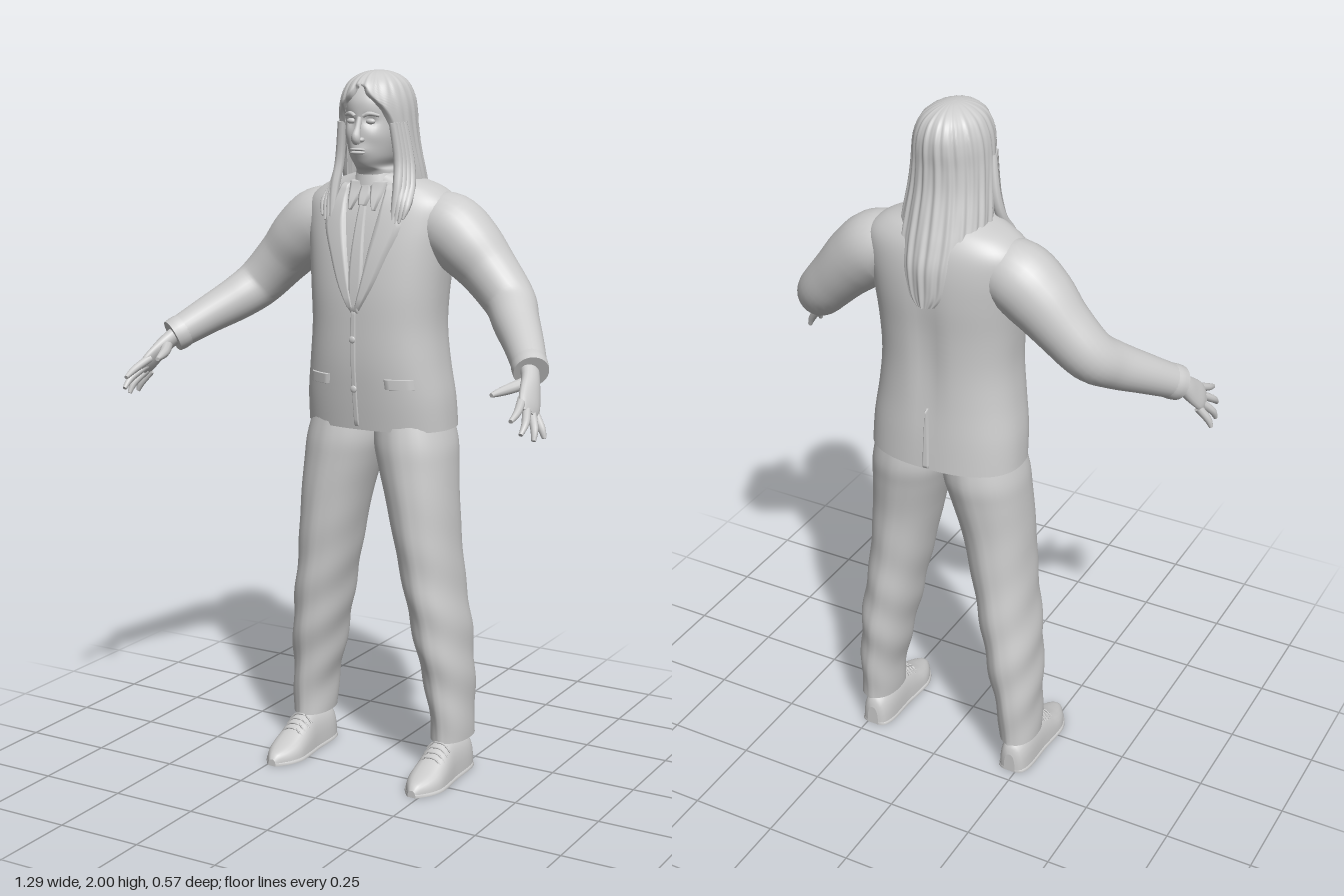
import * as THREE from 'three';

const grey = new THREE.MeshStandardMaterial({ color: 0xcccccc, side: THREE.DoubleSide });
grey.name = 'plain grey';

// smooth interpolation through rows of numbers, t runs 0..1
function sample(rows, t) {
  const s = THREE.MathUtils.clamp(t, 0, 1) * (rows.length - 1);
  const i = Math.min(Math.floor(s), rows.length - 2), f = s - i;
  const at = k => rows[THREE.MathUtils.clamp(k, 0, rows.length - 1)];
  return rows[0].map((_, c) => {
    const [a, b, d, e] = [at(i - 1)[c], at(i)[c], at(i + 1)[c], at(i + 2)[c]];
    return b + 0.5 * f * (d - a + f * (2 * a - 5 * b + 4 * d - e + f * (3 * (b - d) + e - a)));
  });
}

// surface from fn(u, v) -> [x, y, z]; closed ones wrap in u and get end caps
function surface(name, fn, nu, nv, closed = true) {
  const pos = [], idx = [], cols = closed ? nu : nu + 1;
  for (let j = 0; j <= nv; j++)
    for (let i = 0; i < cols; i++) pos.push(...fn(i / nu, j / nv));
  for (let j = 0; j < nv; j++)
    for (let i = 0; i < nu; i++) {
      const k = (i + 1) % cols, a = j * cols + i, b = j * cols + k;
      idx.push(a, b, a + cols, b, b + cols, a + cols);
    }
  if (closed) for (const j of [0, nv]) {
    const start = pos.length / 3, c = [0, 0, 0];
    for (let i = 0; i < nu; i++) {
      const p = fn(i / nu, j / nv);
      pos.push(...p);
      p.forEach((q, n) => { c[n] += q / nu; });
    }
    pos.push(...c);
    for (let i = 0; i < nu; i++) {
      const a = start + i, b = start + (i + 1) % nu;
      idx.push(start + nu, ...(j ? [a, b] : [b, a]));
    }
  }
  const g = new THREE.BufferGeometry();
  g.setAttribute('position', new THREE.Float32BufferAttribute(pos, 3));
  g.setIndex(idx);
  g.computeVertexNormals();
  const m = new THREE.Mesh(g, grey);
  m.name = name;
  return m;
}

const spow = (v, p) => Math.sign(v) * Math.pow(Math.abs(v), p);
const bump = (d, w) => Math.exp(-(d * d) / (w * w));

// upright body from rows [y, cx, front z, back z, half width], squared by power n
function loft(name, rows, n, nu, nv, warp = p => p) {
  return surface(name, (u, v) => {
    const [y, cx, zf, zb, rx] = sample(rows, v), a = u * Math.PI * 2;
    return warp([cx + rx * spow(Math.sin(a), 2 / n), y,
      (zf + zb) / 2 + (zf - zb) / 2 * spow(Math.cos(a), 2 / n)], a);
  }, nu, nv);
}

// depth of a loft's front (side 1) or back (side -1) at x, y
function depth(rows, n, x, y, side = 1) {
  let lo = 0, hi = 1;
  for (let k = 0; k < 24; k++) {
    const mid = (lo + hi) / 2;
    if (sample(rows, mid)[0] < y) lo = mid; else hi = mid;
  }
  const [, cx, zf, zb, rx] = sample(rows, lo);
  const k = Math.min(1, Math.abs((x - cx) / rx));
  return (zf + zb) / 2 + side * (zf - zb) / 2 * Math.pow(1 - Math.pow(k, n), 1 / n);
}

// limb from rows [x, y, z, radius, flatness]
const REF = new THREE.Vector3(0.9, 0.45, 0).normalize();
function limb(name, rows, nu = 12, nv = 16) {
  return surface(name, (u, v) => {
    const p = sample(rows, v), a = u * Math.PI * 2;
    const q = sample(rows, v + 0.01), o = sample(rows, v - 0.01);
    const T = new THREE.Vector3(q[0] - o[0], q[1] - o[1], q[2] - o[2]).normalize();
    const B = T.clone().cross(REF).normalize(), N = B.clone().cross(T);
    N.multiplyScalar(p[3] * (p[4] ?? 1) * Math.cos(a)).addScaledVector(B, p[3] * Math.sin(a));
    return [p[0] + N.x, p[1] + N.y, p[2] + N.z];
  }, nu, nv);
}

const TORSO_N = 2.4;
const TORSO = [
  [1.012, 0, 0.008, -0.278, 0.221], [1.1, 0, 0.02, -0.272, 0.217], [1.2, 0, 0.03, -0.264, 0.203],
  [1.3, 0, 0.032, -0.26, 0.194], [1.4, 0, 0.03, -0.262, 0.199], [1.5, 0, 0.018, -0.268, 0.21],
  [1.58, 0, 0.0, -0.266, 0.222], [1.64, 0, -0.02, -0.255, 0.222], [1.68, 0, -0.04, -0.235, 0.18],
  [1.705, 0, -0.048, -0.21, 0.115], [1.72, 0, -0.05, -0.19, 0.065],
];
const HEAD_N = 2.15;
const HEAD = [
  [1.64, 0, -0.045, -0.17, 0.058], [1.7, 0, -0.04, -0.165, 0.055], [1.728, 0, -0.03, -0.17, 0.054],
  [1.742, 0, -0.008, -0.175, 0.046], [1.77, 0, 0.006, -0.185, 0.06], [1.82, 0, 0.01, -0.195, 0.073],
  [1.87, 0, 0.006, -0.2, 0.077], [1.92, 0, 0.003, -0.2, 0.076], [1.96, 0, -0.025, -0.18, 0.058],
  [1.985, 0, -0.07, -0.14, 0.025],
];

// raised cloth strip on the jacket from rows [y, x0, x1]
function patch(name, rows, lift, side = 1) {
  return surface(name, (u, v) => {
    const [y, x0, x1] = sample(rows, v), x = x0 + (x1 - x0) * u;
    const edge = u === 0 || u === 1 || v === 0 || v === 1;
    return [x, y, depth(TORSO, TORSO_N, x, y, side) + side * (edge ? -0.004 : lift)];
  }, 8, 20, false);
}

// shoe piece from rows [z, half width, height]
function shoePart(name, rows, wide, height) {
  return surface(name, (u, v) => {
    const [z, w, h] = sample(rows, v), a = u * Math.PI * 2, s = Math.sin(a);
    return [0.232 + w * wide * spow(Math.cos(a), 0.8), s > 0 ? (height ?? h) * Math.pow(s, 0.75) : 0, z];
  }, 24, 28);
}

function ball(name, x, y, z, sx, sy, sz) {
  const m = new THREE.Mesh(new THREE.SphereGeometry(1, 16, 10), grey);
  m.name = name;
  m.position.set(x, y, z);
  m.scale.set(sx, sy, sz);
  return m;
}

// everything that repeats on both sides, modelled at +x
function halfBody(name) {
  const g = new THREE.Group();
  g.name = name;
  // trouser leg with pressed crease
  g.add(loft('trouserLeg', [
    [0.105, 0.232, -0.052, -0.222, 0.053], [0.2, 0.228, -0.048, -0.228, 0.057], [0.3, 0.216, -0.035, -0.236, 0.066],
    [0.4, 0.203, -0.02, -0.24, 0.073], [0.5, 0.187, -0.01, -0.238, 0.077], [0.6, 0.17, -0.004, -0.234, 0.081],
    [0.7, 0.155, 0.002, -0.234, 0.088], [0.8, 0.14, 0.005, -0.238, 0.096], [0.9, 0.122, 0.004, -0.252, 0.107],
    [0.97, 0.11, 0.002, -0.262, 0.112], [1.05, 0.1, -0.01, -0.255, 0.1],
  ], 2.2, 40, 50, (p, a) => {
    const crease = 0.005 * (bump(Math.sin(a / 2), 0.06) - bump(Math.cos(a / 2), 0.06));
    const fold = 0.003 * Math.sin(p[1] * 38 + a * 2) * bump(p[1] - 0.35, 0.3);
    return [p[0] + fold * Math.sin(a), p[1], p[2] + crease + fold * Math.cos(a)];
  }));
  // shoe
  const last = [[-0.212, 0.018, 0.06], [-0.2, 0.036, 0.09], [-0.16, 0.046, 0.105], [-0.08, 0.047, 0.112],
    [-0.04, 0.05, 0.1], [0, 0.053, 0.076], [0.035, 0.053, 0.058], [0.07, 0.042, 0.045], [0.1, 0.023, 0.034], [0.113, 0.012, 0.02]];
  g.add(shoePart('shoe', last, 1, null), shoePart('sole', last, 1.08, 0.016));
  for (let i = 0; i < 4; i++) {
    const z = -0.05 + i * 0.017, y = 0.107 - i * 0.0095;
    g.add(limb('lace', [[0.195, y - 0.022, z, 0.003], [0.213, y - 0.003, z, 0.003], [0.232, y + 0.001, z, 0.003],
      [0.251, y - 0.003, z, 0.003], [0.269, y - 0.022, z, 0.003]], 6, 12));
  }
  // sleeve and cuff
  g.add(limb('sleeve', [[0.12, 1.58, -0.14, 0.08], [0.2, 1.575, -0.14, 0.097], [0.265, 1.527, -0.138, 0.094],
    [0.33, 1.462, -0.136, 0.08], [0.4, 1.388, -0.118, 0.071], [0.445, 1.343, -0.065, 0.064],
    [0.505, 1.295, 0.01, 0.054], [0.563, 1.245, 0.09, 0.045]], 28, 40));
  g.add(limb('cuff', [[0.545, 1.261, 0.065, 0.047], [0.556, 1.251, 0.08, 0.049], [0.567, 1.242, 0.095, 0.047]], 24, 6));
  // hand
  g.add(limb('palm', [[0.55, 1.255, 0.075, 0.032, 0.8], [0.572, 1.23, 0.11, 0.029, 0.75], [0.588, 1.198, 0.145, 0.038, 0.48],
    [0.6, 1.17, 0.175, 0.041, 0.36], [0.607, 1.152, 0.192, 0.028, 0.3]], 18, 16));
  const fingers = [
    [[0.585, 1.19, 0.185], [0.598, 1.165, 0.24], [0.598, 1.148, 0.28]],
    [[0.598, 1.168, 0.185], [0.617, 1.137, 0.232], [0.618, 1.112, 0.262]],
    [[0.606, 1.152, 0.172], [0.628, 1.118, 0.202], [0.634, 1.09, 0.218]],
    [[0.606, 1.146, 0.152], [0.63, 1.113, 0.164], [0.641, 1.088, 0.168]],
  ];
  for (const [a, b, c] of fingers)
    g.add(limb('finger', [[...a, 0.012], [...b, 0.0105], [...c, 0.006]], 10, 10));
  g.add(limb('thumb', [[0.573, 1.222, 0.115, 0.017], [0.545, 1.21, 0.165, 0.015], [0.53, 1.204, 0.205, 0.011], [0.521, 1.2, 0.235, 0.006]], 10, 12));
  // jacket front: lapel, pocket flap, shirt collar point
  g.add(patch('lapel', [[1.345, 0.0, 0.012], [1.42, 0.014, 0.056], [1.5, 0.028, 0.09], [1.58, 0.042, 0.122],
    [1.62, 0.049, 0.11], [1.66, 0.055, 0.095], [1.695, 0.056, 0.085]], 0.009));
  g.add(patch('pocketFlap', [[1.135, 0.085, 0.168], [1.165, 0.082, 0.165]], 0.007));
  g.add(patch('collarPoint', [[1.622, 0.034, 0.04], [1.66, 0.016, 0.052], [1.703, 0.006, 0.06]], 0.011));
  // brow, eye and ear
  g.add(limb('brow', [[0.012, 1.878, 0.005, 0.005], [0.03, 1.885, 0.001, 0.006], [0.052, 1.879, -0.014, 0.004]], 8, 10));
  g.add(ball('eye', 0.03, 1.864, -0.006, 0.014, 0.008, 0.009));
  g.add(ball('ear', 0.079, 1.85, -0.09, 0.012, 0.03, 0.018));
  // loose strands over the shoulder
  for (let i = 0; i < 4; i++) {
    const o = i * 0.011, zEnd = depth(TORSO, TORSO_N, 0.095 + o, 1.6) + 0.004;
    g.add(limb('hairLock', [[0.08 + o * 0.4, 1.86, -0.04 - o, 0.012], [0.092 + o * 0.5, 1.76, -0.05 - o, 0.014],
      [0.098 + o * 0.7, 1.69, -0.035 - o, 0.014], [0.098 + o, 1.64, zEnd - 0.012, 0.011],
      [0.094 + o, 1.57 + o, zEnd + 0.006, 0.003]], 8, 20));
  }
  return g;
}

export function createModel() {
  const model = new THREE.Group();
  model.name = 'suitedMan';
  const left = halfBody('leftSide'), right = halfBody('rightSide');
  right.scale.x = -1;
  model.add(left, right);

  // jacket body with a shallow groove down the spine
  model.add(loft('jacket', TORSO, TORSO_N, 64, 50, (p, a) => Math.cos(a) < 0
    ? [p[0], p[1], p[2] + 0.012 * bump(p[0], 0.035) * bump(p[1] - 1.35, 0.2)] : p));
  model.add(patch('frontOverlap', [[1.016, -0.012, 0.004], [1.2, -0.012, 0.004], [1.36, -0.01, 0.006]], 0.004));
  model.add(patch('backVent', [[1.014, -0.014, 0.006], [1.1, -0.01, 0.005], [1.19, -0.004, 0.002]], 0.007, -1));
  model.add(patch('tie', [[1.34, -0.014, 0.014], [1.45, -0.024, 0.024], [1.6, -0.015, 0.015], [1.645, -0.011, 0.011]], 0.006));
  model.add(patch('tieKnot', [[1.635, -0.011, 0.011], [1.665, -0.02, 0.02], [1.69, -0.016, 0.016]], 0.013));
  for (const y of [1.27, 1.13])
    model.add(ball('button', -0.004, y, depth(TORSO, TORSO_N, 0, y) + 0.005, 0.01, 0.01, 0.004));
  model.add(loft('shirtCollar', [[1.675, 0, -0.028, -0.185, 0.075], [1.7, 0, -0.032, -0.18, 0.068],
    [1.722, 0, -0.036, -0.176, 0.061]], 2, 32, 6));

  // head with eye sockets and cheeks shaped in
  model.add(loft('head', HEAD, HEAD_N, 64, 60, (p, a) => {
    if (Math.cos(a) < 0) return p;
    const x = Math.abs(p[0]);
    const d = -0.012 * bump(x - 0.03, 0.016) * bump(p[1] - 1.864, 0.014)
      + 0.004 * bump(x - 0.045, 0.02) * bump(p[1] - 1.825, 0.02)
      + 0.006 * bump(x, 0.03) * bump(p[1] - 1.785, 0.015);
    return [p[0], p[1], p[2] + d];
  }));
  model.add(limb('nose', [[0, 1.874, 0.002, 0.007], [0, 1.845, 0.013, 0.009], [0, 1.822, 0.022, 0.013], [0, 1.808, 0.014, 0.012]], 12, 14));
  for (const s of [-1, 1]) model.add(ball('nostril', s * 0.012, 1.815, 0.012, 0.008, 0.007, 0.01));
  for (const [y, r] of [[1.789, 0.004], [1.78, 0.005]])
    model.add(ball('lip', 0, y, 0.013, 0.024, r, 0.008));

  // long hair: rows [y, cz, half width, half depth, front opening]
  const hair = [[1.495, -0.18, 0.05, 0.1, 1.6], [1.53, -0.17, 0.092, 0.112, 1.5], [1.6, -0.16, 0.112, 0.122, 1.35],
    [1.66, -0.148, 0.12, 0.118, 1.2], [1.72, -0.132, 0.117, 0.115, 1.1], [1.79, -0.116, 0.109, 0.112, 1.02],
    [1.85, -0.106, 0.104, 0.116, 0.86], [1.9, -0.103, 0.1, 0.12, 0.6], [1.935, -0.103, 0.092, 0.115, 0.22],
    [1.965, -0.103, 0.077, 0.099, 0.02], [1.985, -0.103, 0.053, 0.072, 0], [1.996, -0.103, 0.026, 0.036, 0],
    [1.999, -0.103, 0.001, 0.001, 0]];
  model.add(surface('longHair', (u, v) => {
    const [y, cz, rx, rz, gap] = sample(hair, v), g = Math.max(0, gap);
    const a = g + u * 2 * (Math.PI - g);
    const edge = Math.min(u, 1 - u), tuck = g > 0.05 && edge < 0.03 ? 0.88 + edge * 4 : 1;
    const k = tuck * (1 + 0.018 * Math.sin(a * 21 + y * 8) + 0.01 * Math.sin(a * 37));
    return [rx * k * Math.sin(a), y, cz + rz * k * Math.cos(a)];
  }, 140, 60, false));
  return model;
}
